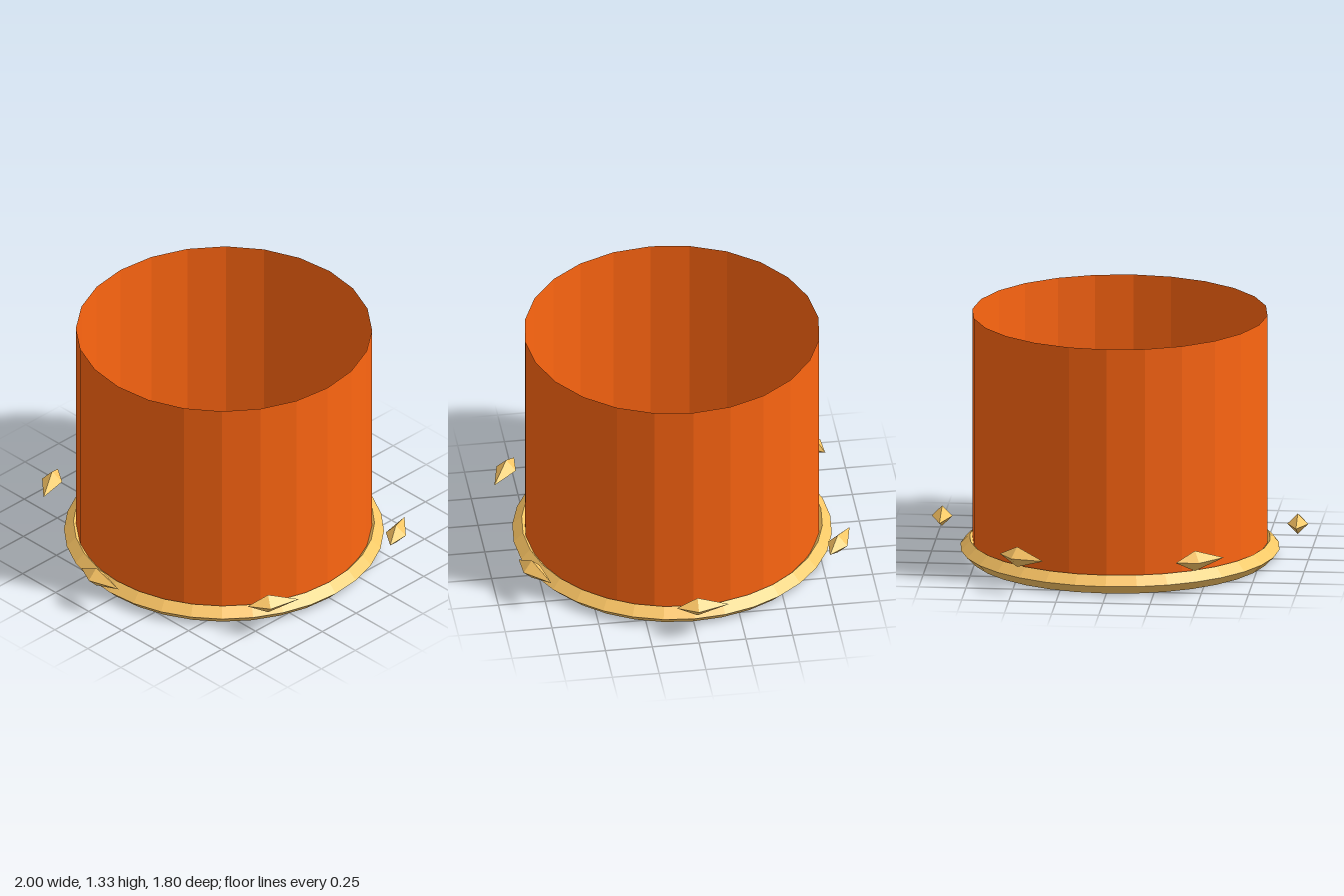
import * as THREE from 'three';

const BASE_Y = 0.05;
const TOP_Y = 1.33;

// Faceted spindle: a stretched octahedron with one longer tip (towards -z)
function crystalGeometry(radius, longTip, shortTip) {
  const geo = new THREE.OctahedronGeometry(1, 0);
  const p = geo.attributes.position;
  for (let i = 0; i < p.count; i++) {
    const z = p.getZ(i);
    p.setXYZ(i, p.getX(i) * radius, p.getY(i) * radius, z * (z < 0 ? longTip : shortTip));
  }
  geo.computeVertexNormals();
  return geo;
}

export function createModel() {
  const model = new THREE.Group();
  model.name = 'crystalRingedTube';

  const orange = new THREE.MeshStandardMaterial({ color: 0xff6611, flatShading: true, side: THREE.DoubleSide });
  const gold = new THREE.MeshStandardMaterial({ color: 0xffc866, flatShading: true });

  // Open tube wall
  const height = TOP_Y - BASE_Y;
  const wall = new THREE.Mesh(new THREE.CylinderGeometry(0.783, 0.783, height, 24, 1, true), orange);
  wall.name = 'tubeWall';
  wall.position.y = BASE_Y + height / 2;
  model.add(wall);

  // Diamond-section base ring
  const ring = new THREE.Mesh(new THREE.TorusGeometry(0.796, 0.05, 4, 32), gold);
  ring.name = 'baseRing';
  ring.rotation.x = Math.PI / 2;
  ring.position.y = BASE_Y;
  model.add(ring);

  // Six crystals circling the wall, long tips all pointing the same way round
  const crystals = new THREE.Group();
  crystals.name = 'crystals';
  const geo = crystalGeometry(0.055, 0.168, 0.112);
  for (let i = 0; i < 6; i++) {
    const a = (i / 6) * Math.PI * 2;
    const crystal = new THREE.Mesh(geo, gold);
    crystal.name = `crystal${i + 1}`;
    crystal.position.set(Math.cos(a) * 0.944, 0.195, Math.sin(a) * 0.944);
    crystal.rotation.y = -a;
    crystals.add(crystal);
  }
  model.add(crystals);

  return model;
}
